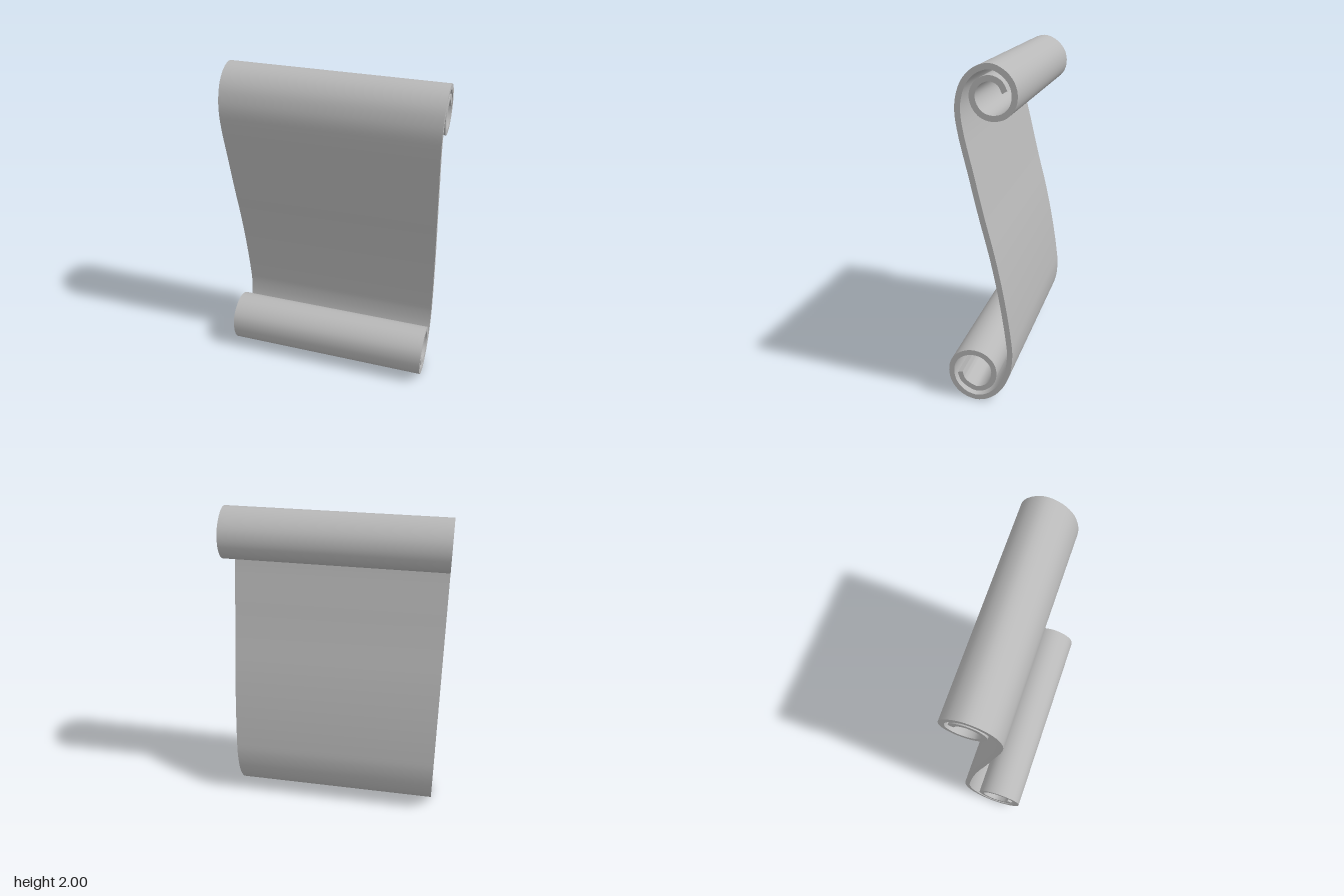
import * as THREE from 'three';
import { toCreasedNormals } from 'three/addons/utils/BufferGeometryUtils.js';

const WIDTH = 1.31;
const HALF_THICKNESS = 0.016;
const SAMPLES = 150;

// Centre line of the sheet seen from the side (back, up), from the top curl to the bottom curl
const CENTRE_LINE = [
  [0.138, 1.855], [0.111, 1.902], [0.058, 1.924], [0.0, 1.905], [-0.032, 1.86],
  [-0.037, 1.818], [-0.02, 1.77], [0.016, 1.733], [0.074, 1.717], [0.138, 1.735],
  [0.178, 1.78], [0.19, 1.837], [0.175, 1.9], [0.127, 1.955], [0.058, 1.984],
  [-0.021, 1.961], [-0.08, 1.902], [-0.111, 1.818], [-0.117, 1.738], [-0.1, 1.62],
  [-0.053, 1.42], [0.005, 1.171], [0.064, 0.938], [0.117, 0.678], [0.153, 0.44],
  [0.162, 0.334], [0.146, 0.207], [0.095, 0.1], [0.027, 0.037], [-0.048, 0.016],
  [-0.127, 0.042], [-0.18, 0.103], [-0.196, 0.18], [-0.18, 0.249], [-0.132, 0.297],
  [-0.064, 0.318], [0.005, 0.302], [0.053, 0.254], [0.066, 0.191], [0.048, 0.13],
  [0.005, 0.09], [-0.042, 0.077], [-0.095, 0.098], [-0.127, 0.127], [-0.143, 0.175],
];

// Closed outline made by offsetting the centre line to both sides
function sheetOutline() {
  const curve = new THREE.CatmullRomCurve3(
    CENTRE_LINE.map(([x, y]) => new THREE.Vector3(x, y, 0)), false, 'centripetal');
  const sideA = [], sideB = [];
  for (let i = 0; i <= SAMPLES; i++) {
    const p = curve.getPoint(i / SAMPLES);
    const t = curve.getTangent(i / SAMPLES);
    const dx = -t.y * HALF_THICKNESS, dy = t.x * HALF_THICKNESS;
    sideA.push(new THREE.Vector2(p.x + dx, p.y + dy));
    sideB.push(new THREE.Vector2(p.x - dx, p.y - dy));
  }
  return new THREE.Shape([...sideA, ...sideB.reverse()]);
}

export function createModel() {
  const group = new THREE.Group();
  group.name = 'scroll';

  const parchment = new THREE.MeshStandardMaterial({ color: 0xb8b8b8 });
  parchment.name = 'parchment grey';

  // One curled sheet, extruded across the width
  const geometry = new THREE.ExtrudeGeometry(sheetOutline(), {
    depth: WIDTH, bevelEnabled: false, steps: 1,
  });
  geometry.translate(0, 0, -WIDTH / 2);
  geometry.rotateY(Math.PI / 2);

  const sheet = new THREE.Mesh(toCreasedNormals(geometry, 0.7), parchment);
  sheet.name = 'curledSheet';
  group.add(sheet);
  return group;
}
